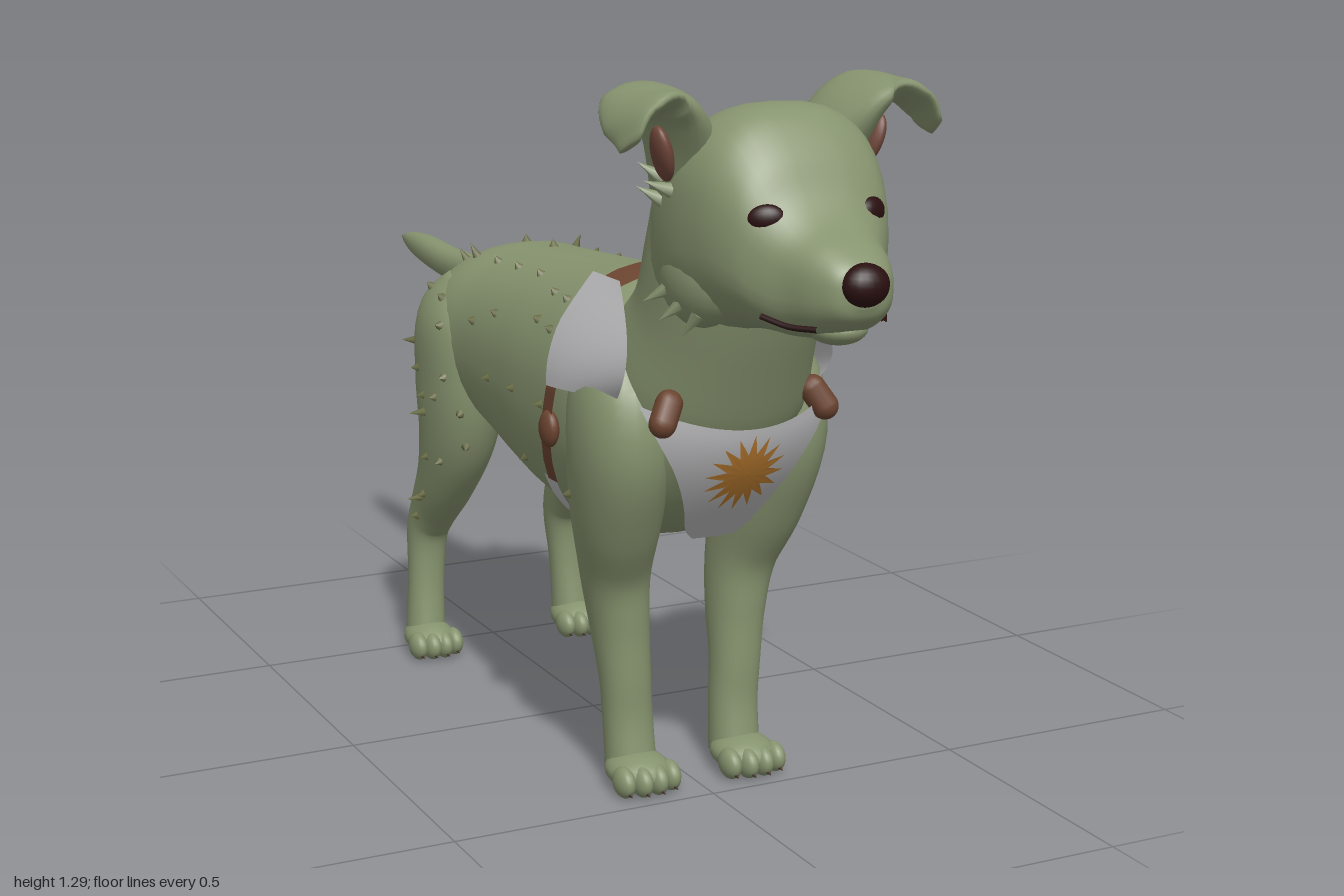
import * as THREE from 'three';

const V = (x, y, z) => new THREE.Vector3(x, y, z);
const paint = (name, color, side = THREE.FrontSide) => {
  const m = new THREE.MeshStandardMaterial({ color, side });
  m.name = name;
  return m;
};

export function createModel() {
  const coat = paint('sage coat', 0x87946f);
  const plate = paint('pale armour', 0xbcbcbe, THREE.DoubleSide);
  const leather = paint('brown leather', 0x6b4430, THREE.DoubleSide);
  const gold = paint('amber emblem', 0xb87a30, THREE.DoubleSide);
  const dark = paint('dark maroon', 0x2a1010);
  const skin = paint('brown skin', 0x70473a);
  const thorn = paint('olive thorn', 0x696c45);
  const claw = paint('dark claw', 0x4a3a2c);
  const model = new THREE.Group();
  model.name = 'armouredDog';

  const add = (name, geo, mat) => {
    const m = new THREE.Mesh(geo, mat);
    m.name = name;
    model.add(m);
    return m;
  };
  const blob = (name, mat, p, s, rot = [0, 0, 0]) => {
    const m = add(name, new THREE.SphereGeometry(1, 20, 14), mat);
    m.position.set(...p);
    m.scale.set(...s);
    m.rotation.set(...rot);
    return m;
  };
  const cone = (name, mat, p, dir, r, h) => {
    const d = dir.clone().normalize();
    const m = add(name, new THREE.ConeGeometry(r, h, 6), mat);
    m.quaternion.setFromUnitVectors(V(0, 1, 0), d);
    m.position.copy(p).addScaledVector(d, h * 0.35);
  };

  // Smooth skin through sections [x, y, z, side radius, depth radius]
  const loft = (name, mat, pts, { side = V(1, 0, 0), axis = null, power = 0.92, n = 28 } = {}) => {
    const centre = new THREE.CatmullRomCurve3(pts.map(p => V(p[0], p[1], p[2])), false, 'catmullrom');
    const radius = new THREE.CatmullRomCurve3(pts.map(p => V(p[3], p[4], 0)), false, 'catmullrom');
    const rows = (pts.length - 1) * 5, pos = [], idx = [];
    const pow = v => Math.sign(v) * Math.abs(v) ** power;
    for (let i = 0; i <= rows; i++) {
      const t = i / rows, c = centre.getPoint(t), r = radius.getPoint(t);
      const T = axis || centre.getTangent(t);
      const S = side.clone().addScaledVector(T, -side.dot(T)).normalize();
      const D = T.clone().cross(S);
      for (let j = 0; j < n; j++) {
        const a = j / n * Math.PI * 2;
        const p = c.clone().addScaledVector(S, r.x * pow(Math.cos(a))).addScaledVector(D, r.y * pow(Math.sin(a)));
        pos.push(p.x, p.y, p.z);
        if (i < rows) {
          const k = i * n + (j + 1) % n, q = i * n + j;
          idx.push(q, k, k + n, q, k + n, q + n);
        }
      }
    }
    const s = pos.length / 3, last = rows * n, a = pts[0], b = pts[pts.length - 1];
    pos.push(a[0], a[1], a[2], b[0], b[1], b[2]);
    for (let j = 0; j < n; j++) {
      const k = (j + 1) % n;
      idx.push(s, k, j, s + 1, last + j, last + k);
    }
    const g = new THREE.BufferGeometry();
    g.setAttribute('position', new THREE.Float32BufferAttribute(pos, 3));
    g.setIndex(idx);
    g.computeVertexNormals();
    return add(name, g, mat);
  };

  // Grid surface from a rule f(u, v) -> Vector3
  const sheet = (name, mat, nu, nv, f) => {
    const g = new THREE.PlaneGeometry(1, 1, nu, nv), p = g.attributes.position;
    for (let i = 0; i < p.count; i++) {
      const q = f(p.getX(i) + 0.5, 0.5 - p.getY(i));
      p.setXYZ(i, q.x, q.y, q.z);
    }
    g.computeVertexNormals();
    return add(name, g, mat);
  };

  // Torso and neck: trunk rows are [z, top, bottom, half width]
  const trunk = rows => rows.map(([z, t, b, w]) => [0, (t + b) / 2, z, w, (t - b) / 2]);
  const forward = V(0, 0, 1);
  const torso = loft('torso', coat, trunk([
    [-0.47, 0.74, 0.66, 0.04], [-0.45, 0.80, 0.60, 0.13], [-0.40, 0.845, 0.56, 0.18], [-0.32, 0.875, 0.53, 0.2],
    [-0.2, 0.885, 0.5, 0.193], [-0.05, 0.895, 0.46, 0.198], [0.1, 0.905, 0.435, 0.21], [0.25, 0.918, 0.43, 0.215],
    [0.36, 0.90, 0.45, 0.21], [0.46, 0.85, 0.5, 0.18], [0.53, 0.80, 0.57, 0.13], [0.575, 0.76, 0.63, 0.085],
    [0.6, 0.72, 0.68, 0.03]]), { axis: forward, n: 40, power: 0.9 });
  const neck = loft('neck', coat, [[0, 0.66, 0.40, 0.15, 0.11], [0, 0.76, 0.45, 0.178, 0.168],
    [0, 0.88, 0.525, 0.16, 0.148], [0, 1.0, 0.57, 0.158, 0.145], [0, 1.1, 0.6, 0.152, 0.135],
    [0, 1.17, 0.63, 0.11, 0.1]], { n: 36 });
  const body = [torso, neck];

  // Head
  loft('head', coat, trunk([
    [0.50, 1.1, 0.93, 0.1], [0.53, 1.16, 0.88, 0.145], [0.58, 1.218, 0.86, 0.168], [0.66, 1.255, 0.88, 0.178],
    [0.74, 1.25, 0.895, 0.168], [0.80, 1.195, 0.9, 0.146], [0.84, 1.125, 0.9, 0.12], [0.88, 1.085, 0.905, 0.095],
    [0.93, 1.06, 0.922, 0.075], [0.965, 1.035, 0.945, 0.052], [0.978, 1.01, 0.97, 0.02]]),
  { axis: forward, n: 36, power: 0.78 });
  blob('nose', dark, [0, 1.003, 0.968], [0.042, 0.035, 0.032]);
  blob('chin', coat, [0, 0.922, 0.89], [0.048, 0.026, 0.05]);

  // Tail
  loft('tail', coat, [[0, 0.79, -0.36, 0.06, 0.06], [0, 0.785, -0.45, 0.045, 0.05], [0, 0.77, -0.56, 0.036, 0.038],
    [0, 0.768, -0.7, 0.032, 0.034], [0, 0.778, -0.85, 0.028, 0.03], [0, 0.783, -0.94, 0.017, 0.018],
    [0, 0.785, -1, 0.001, 0.001]], { n: 18 });

  for (const s of [1, -1]) {
    const side = s > 0 ? 'left' : 'right';
    const flip = pts => pts.map(([x, ...r]) => [x * s, ...r]);

    // Legs
    body.push(loft(side + 'FrontLeg', coat, flip([[0.13, 0.81, 0.41, 0.05, 0.06], [0.147, 0.75, 0.415, 0.08, 0.1],
      [0.152, 0.65, 0.425, 0.086, 0.115], [0.144, 0.52, 0.393, 0.076, 0.1], [0.128, 0.4, 0.357, 0.061, 0.074],
      [0.118, 0.3, 0.355, 0.052, 0.062], [0.112, 0.2, 0.367, 0.046, 0.048], [0.108, 0.12, 0.37, 0.045, 0.044],
      [0.106, 0.03, 0.38, 0.046, 0.046]])));
    body.push(loft(side + 'HindLeg', coat, flip([[0.1, 0.8, -0.32, 0.06, 0.07], [0.125, 0.72, -0.33, 0.09, 0.125],
      [0.14, 0.6, -0.325, 0.08, 0.13], [0.145, 0.5, -0.335, 0.07, 0.108], [0.15, 0.4, -0.38, 0.055, 0.078],
      [0.152, 0.31, -0.45, 0.044, 0.058], [0.156, 0.25, -0.478, 0.04, 0.048], [0.162, 0.15, -0.473, 0.037, 0.036],
      [0.168, 0.03, -0.465, 0.04, 0.042]])));

    // Paws with toes and claws
    for (const [px, pz, w, tag] of [[0.107, 0.41, 0.058, 'Front'], [0.168, -0.445, 0.05, 'Hind']]) {
      blob(side + tag + 'Paw', coat, [px * s, 0.034, pz], [w, 0.034, 0.068]);
      for (let i = 0; i < 4; i++) {
        const k = i - 1.5, x = px * s + k * w * 0.52, z = pz + 0.052 - Math.abs(k) * 0.01;
        blob(side + tag + 'Toe', coat, [x, 0.028, z], [0.018, 0.028, 0.032]);
        cone(side + tag + 'Claw', claw, V(x, 0.014, z + 0.024), V(0, -0.3, 1), 0.006, 0.014);
      }
    }

    // Face, folded ears and cheek fur
    blob(side + 'Cheek', coat, [0.116 * s, 0.975, 0.65], [0.058, 0.085, 0.1]);
    blob(side + 'Eye', dark, [0.096 * s, 1.092, 0.826], [0.033, 0.024, 0.018], [0, 0.5 * s, -0.1 * s]);
    const lip = new THREE.CatmullRomCurve3([V(0.112 * s, 0.942, 0.845), V(0.086 * s, 0.931, 0.89),
      V(0.06 * s, 0.931, 0.93)]);
    add(side + 'Mouth', new THREE.TubeGeometry(lip, 14, 0.005, 6), dark);
    loft(side + 'Ear', coat, flip([[0.12, 1.11, 0.6, 0.06, 0.055], [0.145, 1.2, 0.625, 0.08, 0.05],
      [0.185, 1.254, 0.65, 0.088, 0.035], [0.23, 1.265, 0.67, 0.085, 0.022], [0.264, 1.242, 0.698, 0.065, 0.014],
      [0.282, 1.205, 0.725, 0.028, 0.006]]), { side: V(0, 0, 1), n: 20 });
    blob(side + 'InnerEar', skin, [0.193 * s, 1.18, 0.66], [0.016, 0.05, 0.03], [0.3, 0, -0.3 * s]);
    for (const [x, y, z, dx, dy] of [[0.182, 1.14, 0.63, 1, 0.7], [0.176, 1.12, 0.65, 1, 0.4], [0.172, 1.1, 0.61, 1, 0.6],
      [0.16, 0.93, 0.66, 0.8, -0.7], [0.145, 0.915, 0.69, 0.5, -1], [0.165, 0.95, 0.62, 0.8, -0.5]])
      cone(side + 'FurTuft', coat, V(x * s, y, z), V(dx * s, dy, -0.5), 0.014, 0.05);
  }

  // Rests things on the finished body surface
  const caster = new THREE.Raycaster();
  const cast = (from, dir) => {
    caster.set(from, dir.clone().normalize());
    return caster.intersectObjects(body, false)[0];
  };

  // Chest plate and sun emblem on one smooth breast curve
  const breast = (x, y, lift) => {
    const t = THREE.MathUtils.clamp((y - 0.475) / 0.25, 0, 1);
    return V(x, y, 0.487 + 0.146 * Math.sin(t * Math.PI / 2) - 2 * x * x + lift);
  };
  const outline = new THREE.CatmullRomCurve3([V(0.185, 0.745, 0), V(0.16, 0.69, 0), V(0.12, 0.62, 0),
    V(0.085, 0.55, 0), V(0.06, 0.495, 0), V(0.04, 0.475, 0)]);
  sheet('chestPlate', plate, 24, 16, (u, v) => {
    const k = u * 2 - 1, e = outline.getPoint(v);
    return breast(k * e.x, e.y - (1 - v) * 0.045 * (1 - k * k), 0);
  });
  sheet('sunEmblem', gold, 64, 4, (u, v) => {
    const i = Math.round(u * 64), a = i / 64 * Math.PI * 2;
    const r = v * [0.075, 0.053, 0.04, 0.053][i % 4];
    return breast(r * Math.cos(a), 0.615 + r * Math.sin(a), 0.007);
  });

  // Girth strap, wrapped round the trunk by angle
  const wrap = (name, mat, a0, a1, z0, width, lift) => sheet(name, mat, 24, 3, (u, v) => {
    const a = a0 + (a1 - a0) * u, d = V(Math.cos(a), Math.sin(a), 0);
    const c = V(0, 0.68, z0 + 0.05 * d.y + (v - 0.5) * width);
    const hit = cast(c.clone().add(d), d.clone().negate());
    return hit ? hit.point.addScaledVector(d, lift) : c.addScaledVector(d, 0.22);
  });
  const P = Math.PI;
  wrap('backStrap', leather, P * 0.35, P * 0.65, 0.255, 0.065, 0.016);
  wrap('bellyStrap', plate, -P * 0.82, -P * 0.18, 0.275, 0.048, 0.012);
  for (const s of [1, -1]) {
    const base = s > 0 ? 0 : P;
    wrap('sideStrap', leather, base + s * 0.35, base - s * 0.58, 0.29, 0.038, 0.014);
    blob('sideBuckle', leather, [0.226 * s, 0.65, 0.292], [0.016, 0.034, 0.028]);
    const clip = add('chestBuckle', new THREE.CapsuleGeometry(0.024, 0.038, 6, 12), leather);
    clip.position.copy(breast(0.147 * s, 0.733, 0));
    clip.rotation.set(-0.4, 0, 0.5 * s);

    // Shoulder guard, flared outward at its lower edge
    sheet('shoulderGuard', plate, 12, 12, (u, v) => {
      const rear = 0.3 + 0.03 * Math.abs(v - 0.45), front = 0.42 + 0.125 * Math.sin(v * 0.75 * P);
      const x = 0.15 + 0.092 * Math.sin(v * P / 2) - 0.045 * u * u * v;
      return V(x * s, 0.93 - 0.195 * v + 0.012 * u * v, rear + (front - rear) * u);
    });
  }

  // Studs on flanks and legs, as [z, y] pairs
  const studs = [[0.2, 0.86], [0.13, 0.86], [0, 0.87], [-0.11, 0.865], [-0.21, 0.86], [0.21, 0.81], [0.14, 0.815],
    [-0.06, 0.79], [-0.37, 0.79], [-0.3, 0.78], [0.09, 0.68], [0.23, 0.68], [-0.05, 0.67], [-0.15, 0.76], [-0.25, 0.63],
    [-0.36, 0.63], [-0.28, 0.585], [-0.33, 0.58], [-0.22, 0.56], [0.1, 0.55], [0.37, 0.55], [-0.23, 0.49],
    [-0.29, 0.45], [-0.34, 0.45], [-0.385, 0.36], [-0.44, 0.3], [-0.27, 0.73]];
  const stud = (from, dir, h) => {
    const hit = cast(from, dir);
    if (hit) cone('stud', thorn, hit.point, hit.face.normal, 0.011, h);
  };
  for (const s of [1, -1]) {
    for (const [z, y] of studs) stud(V(2 * s, y, z), V(-s, 0, 0), 0.016);
    for (const [z, y] of [[-0.31, 0.855], [-0.4, 0.83], [-0.43, 0.67], [-0.33, 0.545], [-0.4, 0.35]])
      stud(V(2 * s, y, z), V(-s, 0, 0), 0.036);
  }
  for (const z of [-0.4, -0.31, -0.18]) stud(V(0, 2, z), V(0, -1, 0), 0.018);

  // Underside skin and flank disc
  blob('bellySkin', skin, [0, 0.488, -0.16], [0.042, 0.034, 0.052]);
  cone('bellyTip', skin, V(0, 0.46, -0.145), V(0, -1, 0), 0.012, 0.04);
  blob('rumpSkin', skin, [0, 0.565, -0.385], [0.026, 0.045, 0.042]);
  const disc = cast(V(2, 0.5, 0.07), V(-1, 0, 0));
  if (disc) {
    const d = add('flankDisc', new THREE.CylinderGeometry(0.02, 0.02, 0.008, 16), plate);
    d.position.copy(disc.point);
    d.quaternion.setFromUnitVectors(V(0, 1, 0), disc.face.normal);
  }
  return model;
}
